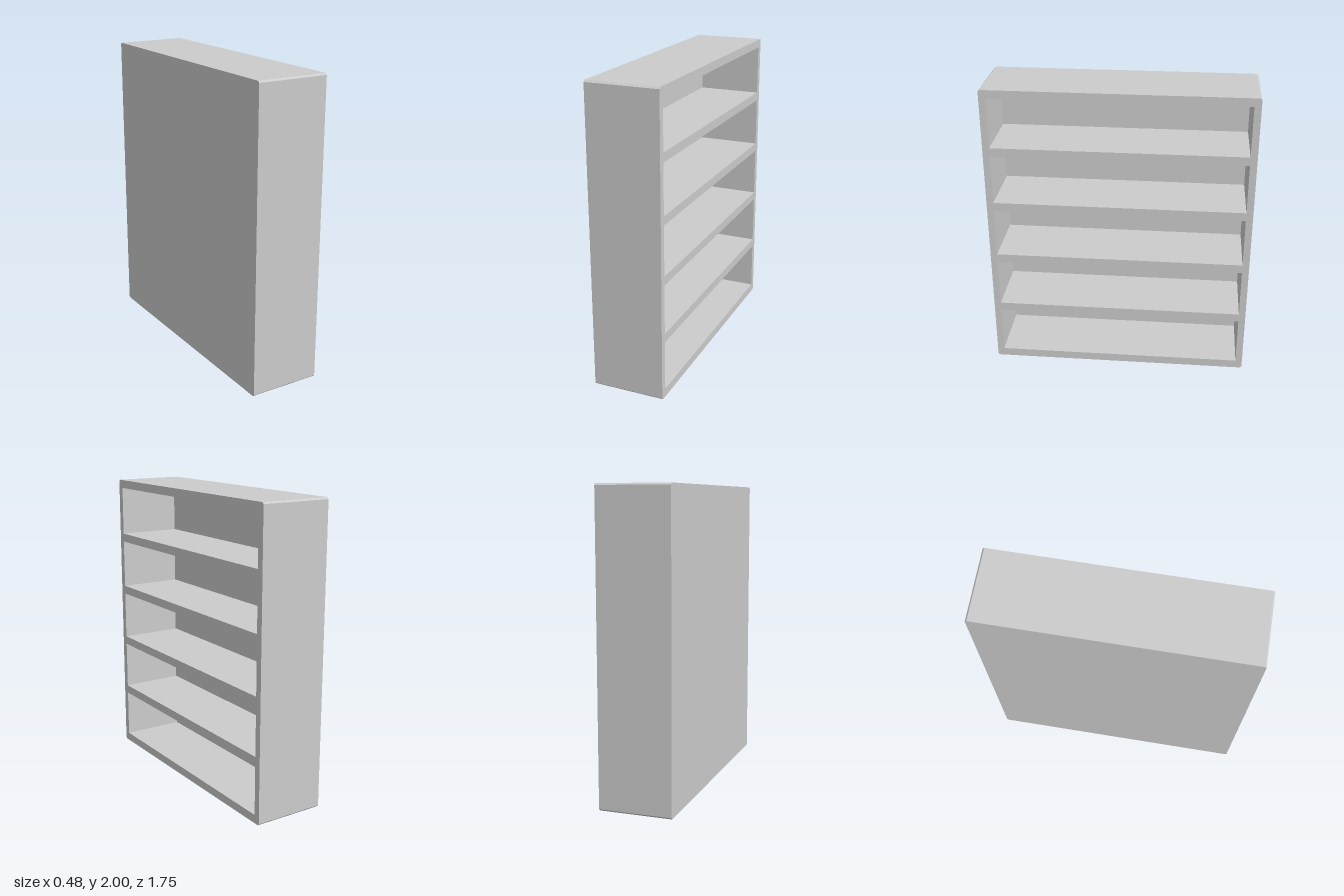
import * as THREE from 'three';

const WIDTH = 1.745, HEIGHT = 2, DEPTH = 0.478, BACK = 0.045, CHAMFER = 0.011;
const BAYS = 5, BAY_WIDTH = 1.655, BAY_HEIGHT = 0.331, BAY_PITCH = 0.389, FIRST_BAY = 0.057;

// Upright rectangle with small chamfered corners
function outline() {
  const w = WIDTH / 2, c = CHAMFER;
  return new THREE.Shape([
    [-w + c, 0], [w - c, 0], [w, c], [w, HEIGHT - c],
    [w - c, HEIGHT], [-w + c, HEIGHT], [-w, HEIGHT - c], [-w, c],
  ].map(([x, y]) => new THREE.Vector2(x, y)));
}

// Extrude a profile along +x, starting at startX
function extrudeAlongX(shape, depth, startX) {
  const geometry = new THREE.ExtrudeGeometry(shape, { depth, bevelEnabled: false });
  geometry.rotateY(Math.PI / 2);
  geometry.translate(startX, 0, 0);
  return geometry;
}

export function createModel() {
  const group = new THREE.Group();
  group.name = 'bookcase';
  const grey = new THREE.MeshStandardMaterial({ color: 0xcccccc });
  grey.name = 'lightGrey';

  // Case and shelves: one slab pierced by the bays, open towards +x
  const shape = outline();
  const b = BAY_WIDTH / 2;
  for (let i = 0; i < BAYS; i++) {
    const y0 = FIRST_BAY + i * BAY_PITCH, y1 = y0 + BAY_HEIGHT;
    shape.holes.push(new THREE.Path([
      new THREE.Vector2(-b, y0), new THREE.Vector2(-b, y1),
      new THREE.Vector2(b, y1), new THREE.Vector2(b, y0),
    ]));
  }
  const frame = new THREE.Mesh(extrudeAlongX(shape, DEPTH - BACK, -DEPTH / 2 + BACK), grey);
  frame.name = 'caseAndShelves';

  // Closed panel behind the bays
  const back = new THREE.Mesh(extrudeAlongX(outline(), BACK, -DEPTH / 2), grey);
  back.name = 'backPanel';

  group.add(frame, back);
  return group;
}
